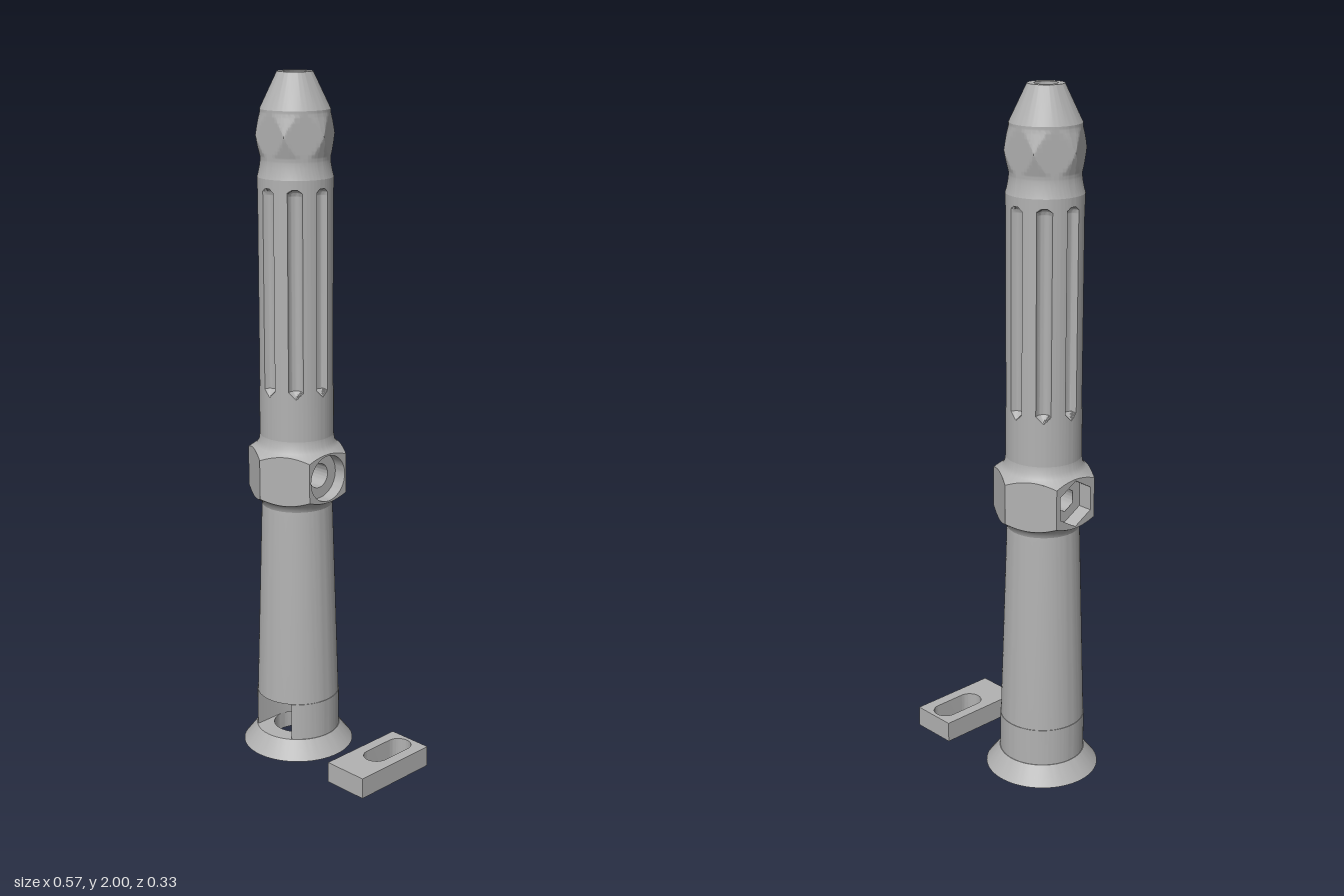
import * as THREE from 'three';
import { toCreasedNormals } from 'three/addons/utils/BufferGeometryUtils.js';

const grey = new THREE.MeshStandardMaterial({ color: 0xb2b2b2, side: THREE.DoubleSide });
grey.name = 'plain grey';
const AXIS_X = -0.12, SEG = 192, BORE = 0.032, SOCKET = 0.073;
const HEX = 0.128, HOLE_Y = 0.862;

function add(parent, name, geometry, crease = 0.5) {
  const mesh = new THREE.Mesh(toCreasedNormals(geometry, crease), grey);
  mesh.name = name;
  parent.add(mesh);
  return mesh;
}

// Surface through rings; each ring maps an angle to [radius, height]
function loft(rings) {
  const pos = [], index = [], n = SEG + 1;
  rings.forEach((ring, i) => {
    for (let j = 0; j <= SEG; j++) {
      const t = ((j % SEG) / SEG) * Math.PI * 2;
      const [r, y] = ring(t);
      pos.push(r * Math.sin(t), y, r * Math.cos(t));
      if (i && j < SEG) {
        const a = (i - 1) * n + j, d = a + n;
        index.push(a, a + 1, d, a + 1, d + 1, d);
      }
    }
  });
  const g = new THREE.BufferGeometry();
  g.setAttribute('position', new THREE.Float32BufferAttribute(pos, 3));
  g.setIndex(index);
  return g;
}
const circle = (r, y) => () => [r, y];

const lathe = (points, segments = 96, start = 0) =>
  new THREE.LatheGeometry(points.map(([r, y]) => new THREE.Vector2(r, y)), segments, start);

// Radius of a hexagon whose face centres start at angle "offset"
function hexRadius(t, apothem, offset) {
  const s = Math.PI / 3;
  const d = ((((t - offset + s / 2) % s) + s) % s) - s / 2;
  return apothem / Math.cos(d);
}

// Height of the chamfered hexagon edge above or below the middle
const chamfer = (r) => 0.073 - (r - HEX) * 0.75;
const steps = (a, b, n) => Array.from({ length: n + 1 }, (_, i) => a + ((b - a) * i) / n);

function addBase(tower) {
  add(tower, 'flange', lathe([[SOCKET, 0], [0.165, 0], [0.125, 0.052], [SOCKET, 0.052], [SOCKET, 0]]));

  // Wall around the front window
  const r = 0.1235, open = Math.asin(SOCKET / r);
  const wall = new THREE.Shape();
  wall.absarc(0, 0, r, -Math.PI / 2 + open, Math.PI * 1.5 - open, false);
  wall.lineTo(-SOCKET, 0);
  wall.lineTo(-0.045, 0.0575);
  wall.lineTo(0.045, 0.0575);
  wall.lineTo(SOCKET, 0);
  wall.closePath();
  const g = new THREE.ExtrudeGeometry(wall, { depth: 0.113, bevelEnabled: false, curveSegments: 72 });
  g.rotateX(-Math.PI / 2).translate(0, 0.052, 0);
  add(tower, 'windowWall', g);

  // Tapered lower tube
  add(tower, 'lowerTube', lathe([
    [SOCKET, 0.165], [0.122, 0.165], [0.104, 0.75], [0.103, 0.765],
    [BORE, 0.78], [SOCKET, 0.72], [SOCKET, 0.165],
  ]));
}

function addHexCollar(tower) {
  const collar = new THREE.Group();
  collar.name = 'hexCollar';
  tower.add(collar);
  const edge = (sign) => (t) => {
    const r = hexRadius(t, HEX, Math.PI / 6);
    return [r, HOLE_Y + sign * chamfer(r)];
  };
  add(collar, 'lowerShoulder', loft([circle(0.103, 0.762), circle(0.106, 0.772), circle(0.116, 0.783), edge(-1)]));
  add(collar, 'upperShoulder', loft([edge(1), circle(0.118, 0.942), circle(0.110, 0.955), circle(0.107, 0.975)]));

  // Six faces; one has a round hole and the opposite one a hexagonal hole
  const half = HEX * Math.tan(Math.PI / 6);
  for (let i = 0; i < 6; i++) {
    const top = steps(half, -half, 24).map((u) => new THREE.Vector2(u, chamfer(Math.hypot(HEX, u))));
    const bottom = top.map((p) => new THREE.Vector2(-p.x, -p.y));
    const face = new THREE.Shape([...top, ...bottom]);
    if (i === 1 || i === 4) {
      const n = i === 1 ? 48 : 6;
      face.holes.push(new THREE.Path(steps(0, Math.PI * 2, n).slice(0, n)
        .map((a) => new THREE.Vector2(0.068 * Math.sin(a), 0.068 * Math.cos(a)))));
    }
    const g = new THREE.ShapeGeometry(face);
    g.translate(0, HOLE_Y, HEX).rotateY(Math.PI / 6 + (i * Math.PI) / 3);
    add(collar, 'collarFace', g);
  }

  // Recesses running in to the cross hole
  const recess = (name, sign, segments, depth) => {
    const outer = lathe([[0.068, HEX], [0.068, depth], [0.036, depth]], segments, Math.PI / 2);
    const inner = lathe([[0.036, depth], [0.036, 0.028]], 48);
    [outer, inner].forEach((g) => {
      g.rotateZ(-sign * Math.PI / 2).translate(0, HOLE_Y, 0);
      add(collar, name, g);
    });
  };
  recess('boltRecess', 1, 48, 0.09);
  recess('nutRecess', -1, 6, 0.085);
}

function addFlutedGrip(tower) {
  const R = 0.107, w0 = R * Math.sin(Math.PI / 16), low = 1.1, high = 1.69;
  // Flute half-width: pointed at the bottom, round at the top
  const width = (y) => {
    if (y <= low || y >= high) return 0;
    const top = Math.max(0, y - (high - w0));
    return Math.min(w0, y - low, Math.sqrt(w0 * w0 - top * top));
  };
  const ring = (y) => (t) => {
    const s = Math.PI / 4;
    const d = ((t + s / 2) % s) - s / 2;
    const cut = width(y) ** 2 - (R * Math.sin(d)) ** 2;
    return [cut > 1e-9 ? R * Math.cos(d) - Math.sqrt(cut) : R, y];
  };
  const ys = [0.975, ...steps(low, low + w0, 6), ...steps(high - w0, high, 8), 1.715];
  add(tower, 'flutedGrip', loft(ys.map(ring)), 0.6);
}

function addTip(tower) {
  // Faceted neck with six points
  const neck = (y) => (t) => {
    const cone = 0.113 - Math.abs(y - 1.83) * 0.25;
    return [Math.max(0.098, Math.min(hexRadius(t, 0.098, 0), cone)), y];
  };
  add(tower, 'facetedNeck', loft([circle(0.107, 1.715), circle(0.104, 1.725), circle(0.1, 1.745),
    ...steps(1.76, 1.9, 28).map(neck)]), 0.35);
  add(tower, 'conicalTip', lathe([[0.098, 1.9], [0.05, 2], [BORE, 2], [BORE, 1.9]]));
  // Bore, interrupted by the cross hole
  add(tower, 'upperBore', lathe([[BORE, 1.9], [BORE, 0.897]], 48));
  add(tower, 'lowerBore', lathe([[BORE, 0.827], [BORE, 0.78]], 48));
}

function addSlottedBlock(group) {
  const shape = new THREE.Shape([[0.146, -0.138], [0.284, -0.138], [0.284, 0.138], [0.146, 0.138]]
    .map(([x, y]) => new THREE.Vector2(x, y)));
  const slot = new THREE.Path();
  slot.absarc(0.2145, 0.089, 0.0365, 0, Math.PI, false);
  slot.absarc(0.2145, -0.008, 0.0365, Math.PI, Math.PI * 2, false);
  slot.closePath();
  shape.holes.push(slot);
  const g = new THREE.ExtrudeGeometry(shape, { depth: 0.062, bevelEnabled: false, curveSegments: 24 });
  add(group, 'slottedBlock', g.rotateX(-Math.PI / 2));
}

export function createModel() {
  const model = new THREE.Group();
  model.name = 'flutedTubeAndBlock';
  const tower = new THREE.Group();
  tower.name = 'tube';
  tower.position.x = AXIS_X;
  model.add(tower);
  addBase(tower);
  addHexCollar(tower);
  addFlutedGrip(tower);
  addTip(tower);
  addSlottedBlock(model);
  return model;
}
